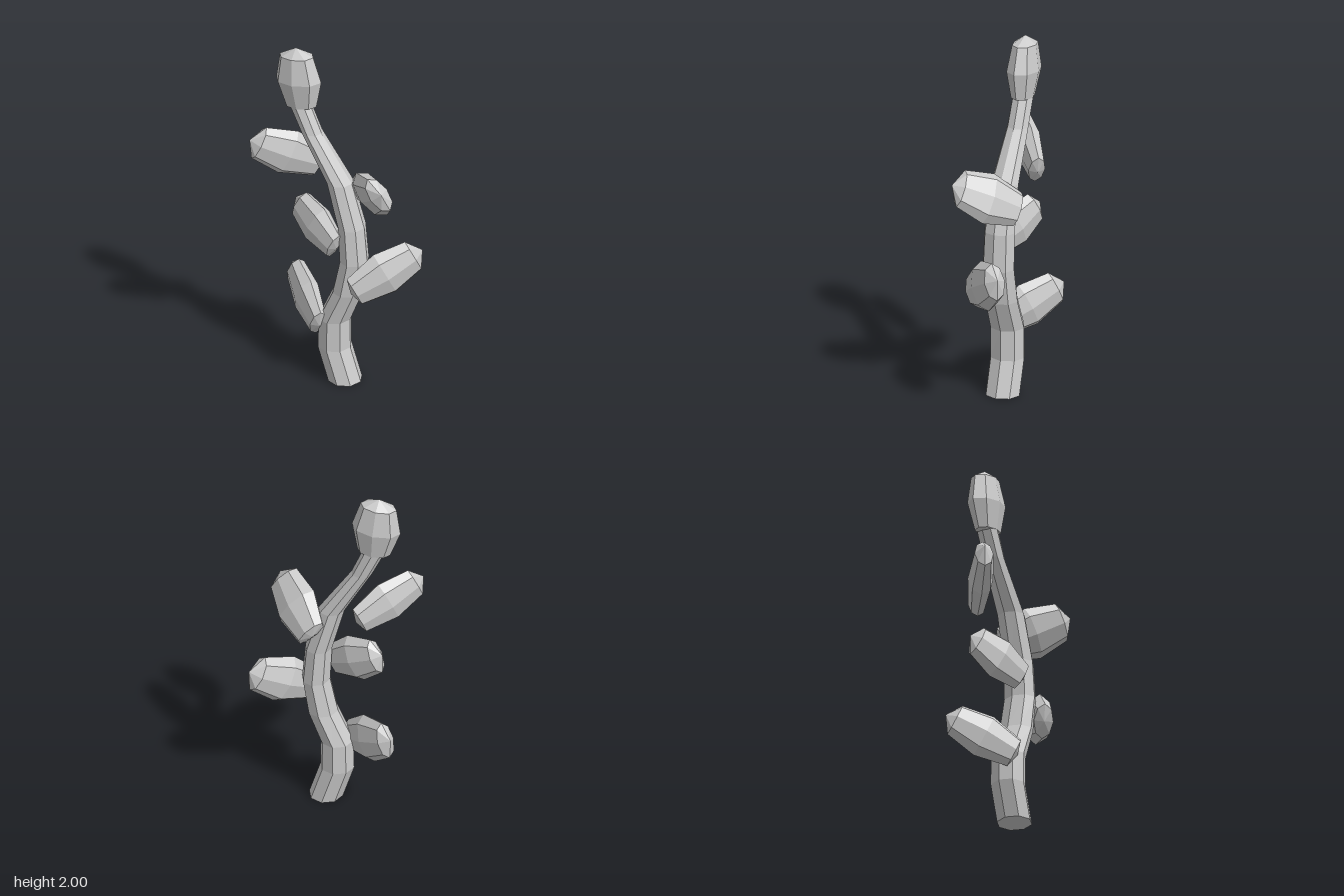
import * as THREE from 'three';

const material = new THREE.MeshStandardMaterial({ color: 0xcccccc, flatShading: true });

// Stem rings: [centre x, y, radius in x, radius in z]
const RINGS = [
  [0.052, 0, 0.095, 0.1], [-0.012, 0.2, 0.095, 0.1], [-0.01, 0.375, 0.092, 0.1],
  [0.07, 0.56, 0.086, 0.097], [0.108, 0.76, 0.079, 0.094], [0.093, 0.97, 0.075, 0.09],
  [0.02, 1.23, 0.072, 0.08], [-0.15, 1.5, 0.058, 0.062], [-0.218, 1.65, 0.062, 0.06],
];

// Bent, tapering eight-sided stem
function createStem() {
  const n = RINGS.length - 1;
  const geometry = new THREE.CylinderGeometry(1, 1, n, 8, n);
  const p = geometry.attributes.position;
  for (let i = 0; i < p.count; i++) {
    const [cx, y, rx, rz] = RINGS[Math.round(p.getY(i) + n / 2)];
    p.setXYZ(i, cx + p.getX(i) * rx, y, p.getZ(i) * rz);
  }
  geometry.computeVertexNormals();
  const stem = new THREE.Mesh(geometry, material);
  stem.name = 'stem';
  return stem;
}

// Flattened eight-sided pod of unit length and unit radius, growing along y
const podGeometry = new THREE.LatheGeometry(
  [[0, -0.5], [0.68, -0.45], [1, -0.03], [0.74, 0.37], [0, 0.5]].map(([r, y]) => new THREE.Vector2(r, y)), 8);

// heading: horizontal growth direction, tilt: rise in radians, roll: twist about the length
function createPod({ name, center, heading, tilt, roll = 0, size }) {
  const h = new THREE.Vector3(heading[0], 0, heading[1]).normalize();
  const up = new THREE.Vector3(0, 1, 0);
  const along = h.clone().multiplyScalar(Math.cos(tilt)).addScaledVector(up, Math.sin(tilt));
  const wide = up.multiplyScalar(Math.cos(tilt)).addScaledVector(h, -Math.sin(tilt));
  wide.applyAxisAngle(along, -roll);
  const thick = new THREE.Vector3().crossVectors(wide, along);
  const pod = new THREE.Mesh(podGeometry, material);
  pod.name = name;
  pod.quaternion.setFromRotationMatrix(new THREE.Matrix4().makeBasis(wide, along, thick));
  pod.position.set(...center);
  pod.scale.set(size[1] / 2, size[0], size[2] / 2);
  return pod;
}

// size: length, width, thickness
const PODS = [
  { name: 'lowerRightPod', center: [-0.21, 0.44, -0.045], heading: [-0.33, -0.3], tilt: 0.44, size: [0.45, 0.27, 0.14] },
  { name: 'middleRightPod', center: [-0.125, 0.93, 0], heading: [-0.9, -0.4], tilt: 0.46, size: [0.39, 0.27, 0.14] },
  { name: 'upperRightPod', center: [-0.305, 1.34, 0.01], heading: [-0.34, 0.28], tilt: 0.44, size: [0.45, 0.27, 0.14] },
  { name: 'lowerLeftPod', center: [0.3, 0.725, -0.01], heading: [0.32, -0.3], tilt: 0.48, size: [0.46, 0.28, 0.16] },
  { name: 'upperLeftPod', center: [0.225, 1.21, 0.02], heading: [0.31, 0.35], tilt: 0.46, roll: -0.52, size: [0.44, 0.29, 0.15] },
  { name: 'topPod', center: [-0.232, 1.815, 0], heading: [-1, 0], tilt: 1.48, size: [0.37, 0.275, 0.175] },
];

export function createModel() {
  const model = new THREE.Group();
  model.name = 'buddingStem';
  model.add(createStem(), ...PODS.map(createPod));
  return model;
}
